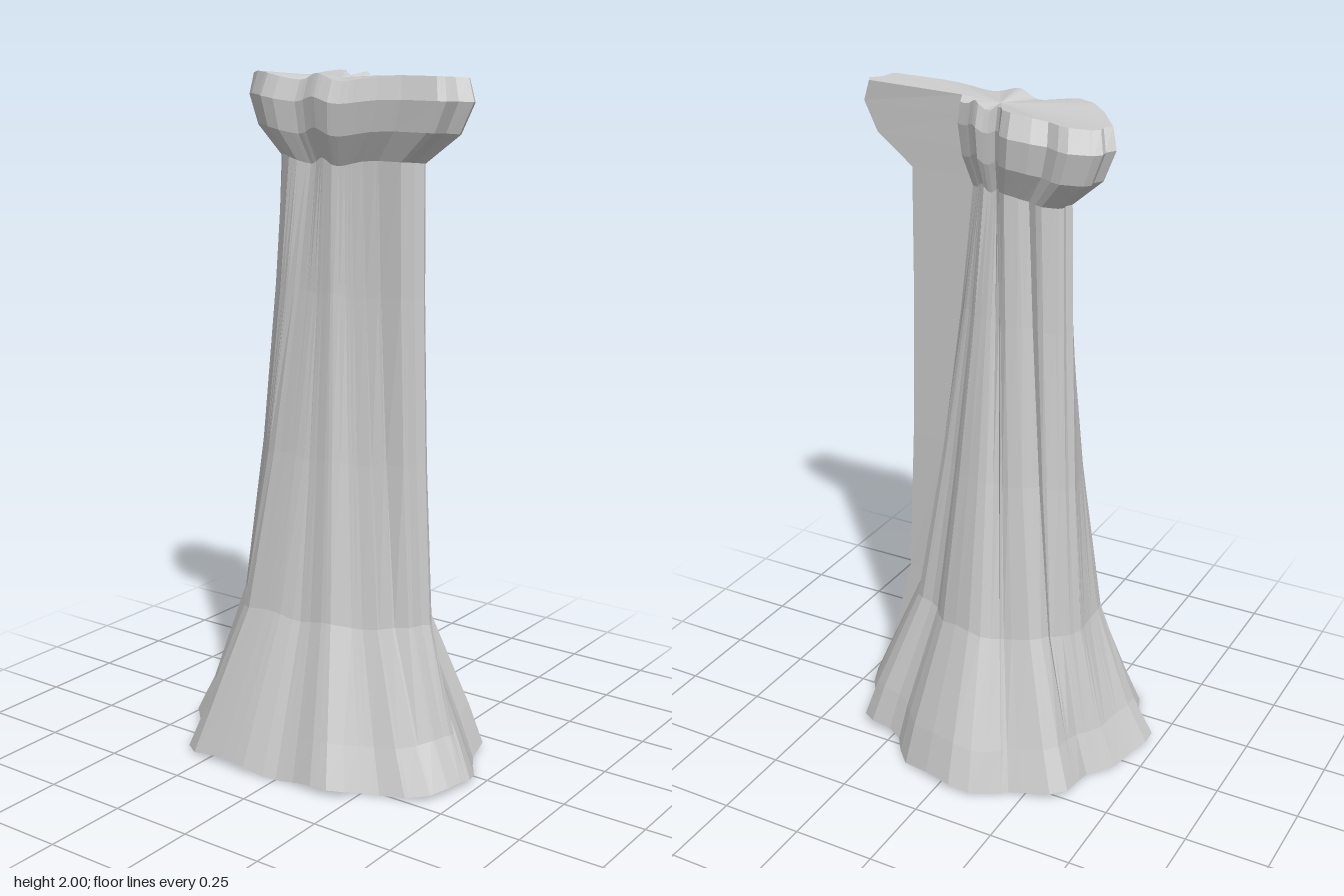
import * as THREE from 'three';

const CZ = 0.025; // every outline is seen from the axis x = 0, z = CZ

// Outline of the flared foot, x and z in pairs
const FOOT = [0.475, 0.055, 0.46, 0.15, 0.435, 0.205, 0.375, 0.242, 0.3, 0.26, 0.255, 0.285, 0.225, 0.325, 0.185, 0.36,
  0.13, 0.362, 0.06, 0.352, 0, 0.355, -0.04, 0.367, -0.105, 0.375, -0.19, 0.37, -0.3, 0.365, -0.355, 0.325,
  -0.375, 0.27, -0.4, 0.215, -0.475, 0.143, -0.475, 0.095, -0.45, 0.03, -0.43, -0.04, -0.375, -0.12, -0.368, -0.24,
  -0.33, -0.28, -0.205, -0.305, -0.105, -0.372, -0.04, -0.378, 0.05, -0.355, 0.14, -0.325, 0.185, -0.28, 0.215, -0.24,
  0.26, -0.22, 0.33, -0.21, 0.375, -0.18, 0.39, -0.1, 0.42, -0.05, 0.455, 0];

// Outline of the top rim: a thin wing towards +x and a broad lobe towards -x
const RIM = [0.43, 0.05, 0.44, 0.07, 0.41, 0.09, 0.4, 0.125, 0.38, 0.133, 0.27, 0.13, 0.2, 0.135, 0.13, 0.143,
  0.06, 0.152, 0.01, 0.142, -0.04, 0.126, -0.07, 0.122, -0.135, 0.131, -0.18, 0.126, -0.245, 0.088, -0.3, 0.038,
  -0.335, -0.008, -0.36, -0.04, -0.342, -0.06, -0.345, -0.08, -0.33, -0.095, -0.27, -0.115, -0.24, -0.11, -0.2, -0.09,
  -0.16, -0.103, -0.1, -0.108, -0.065, -0.088, -0.045, -0.058, -0.03, -0.048, 0.03, -0.045, 0.065, -0.022, 0.11, 0,
  0.12, 0.03];

function toPoints(flat) {
  const pts = [];
  for (let i = 0; i < flat.length; i += 2) pts.push(new THREE.Vector2(flat[i], flat[i + 1] - CZ));
  return pts;
}

// Point where the ray at the given angle leaves a star-shaped outline
function castRay(pts, angle) {
  const dir = new THREE.Vector2(Math.cos(angle), Math.sin(angle));
  for (let i = 0; i < pts.length; i++) {
    const a = pts[i], b = pts[(i + 1) % pts.length];
    const ca = dir.cross(a), cb = dir.cross(b);
    if (ca <= 1e-9 && cb > 1e-9) {
      const p = a.clone().lerp(b, ca / (ca - cb));
      if (p.dot(dir) > 0) return p;
    }
  }
  return dir.multiplyScalar(0.1);
}

// Lofts stacked rings, with optional fans closing the ends
function loft(rings, bottomY, topY) {
  const n = rings[0].length, pos = [], index = [];
  rings.forEach(r => r.forEach(p => pos.push(p.x, p.y, p.z)));
  for (let k = 0; k < rings.length - 1; k++) {
    for (let i = 0; i < n; i++) {
      const j = (i + 1) % n, a = k * n + i, b = k * n + j;
      index.push(a, a + n, b, b, a + n, b + n);
    }
  }
  const cap = (y, start, up) => {
    const c = pos.length / 3;
    pos.push(0, y, CZ);
    for (let i = 0; i < n; i++) {
      const a = start + i, b = start + (i + 1) % n;
      index.push(c, up ? b : a, up ? a : b);
    }
  };
  if (bottomY !== null) cap(bottomY, 0, false);
  if (topY !== null) cap(topY, (rings.length - 1) * n, true);
  const g = new THREE.BufferGeometry();
  g.setAttribute('position', new THREE.Float32BufferAttribute(pos, 3));
  g.setIndex(index);
  const flat = g.toNonIndexed();
  flat.computeVertexNormals();
  return flat;
}

export function createModel() {
  const group = new THREE.Group();
  group.name = 'rockPillar';
  const material = new THREE.MeshStandardMaterial({ color: 0xcccccc, flatShading: true });

  // Shared ray angles keep the ridges running from foot to rim
  const foot = toPoints(FOOT), rim = toPoints(RIM);
  const angles = [...foot, ...rim].map(p => (p.angle() + Math.PI * 2) % (Math.PI * 2))
    .sort((a, b) => a - b).filter((a, i, all) => i === 0 || a - all[i - 1] > 0.002);
  const footRay = angles.map(a => castRay(foot, a));
  const rimRay = angles.map(a => castRay(rim, a));

  const rimRing = (y, sx, sz, wave) => rimRay.map((p, i) =>
    new THREE.Vector3(p.x * sx, y + wave * Math.sin(angles[i] * 5), CZ + p.y * sz));
  const neck = rimRing(1.762, 0.68, 0.82, 0.01);

  // Shaft rings: height, spread towards the foot, extra spread where the neck is narrow,
  // extra spread below the lobe, ripple
  const shaftRings = [[0.015, 1, 0, 0, 0.012], [0.14, 0.67, 0.27, 0.03, 0.01], [0.46, 0.22, 0.38, 0.08, 0.008],
    [0.93, 0.09, 0.27, 0.04, 0.006], [1.4, 0.02, 0.12, 0.02, 0.006]].map(([y, spread, extra, lobe, wave]) =>
    neck.map((p, i) => {
      const narrow = Math.max(0, 1 - Math.hypot(p.x, p.z - CZ) / 0.28);
      const t = spread + extra * narrow + lobe * Math.max(0, -Math.cos(angles[i]));
      return new THREE.Vector3(
        THREE.MathUtils.lerp(p.x, footRay[i].x, t),
        y + wave * Math.sin(angles[i] * 7),
        THREE.MathUtils.lerp(p.z, CZ + footRay[i].y, t));
    }));

  const shaft = new THREE.Mesh(loft([...shaftRings, neck], 0.01, null), material);
  shaft.name = 'shaft';

  // Bulging collar closed by the nearly flat top
  const collar = new THREE.Mesh(loft([neck, rimRing(1.845, 0.95, 1.14, 0.01),
    rimRing(1.93, 1.05, 1.22, 0.008), rimRing(1.99, 1, 1, 0.01)], null, 1.985), material);
  collar.name = 'collar';

  group.add(shaft, collar);
  return group;
}
